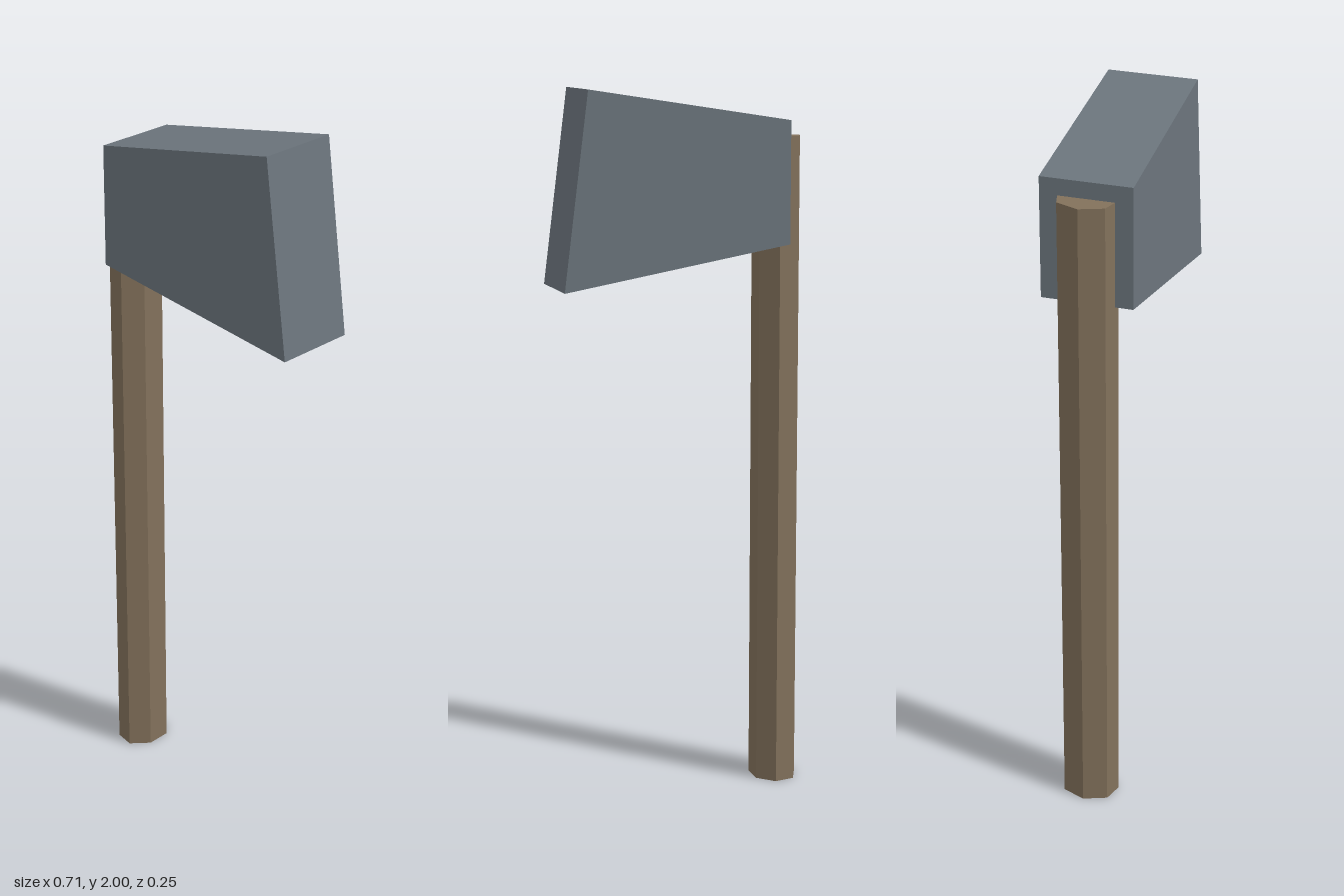
import * as THREE from 'three';

export function createModel() {
  const wood = new THREE.MeshStandardMaterial({ color: 0x82715b, flatShading: true });
  wood.name = 'wood';
  const steel = new THREE.MeshStandardMaterial({ color: 0x6c757d, flatShading: true });
  steel.name = 'steel';

  const axe = new THREE.Group();
  axe.name = 'axe';

  // Handle: seven-sided shaft, flattened across x, one corner pointing to -x
  const height = 1.865;
  const shaft = new THREE.CylinderGeometry(1, 1, height, 7, 1, false, -Math.PI / 2);
  shaft.scale(0.068, 1, 0.084);
  const handle = new THREE.Mesh(shaft, wood);
  handle.name = 'handle';
  handle.position.set(-0.289, height / 2, 0);
  axe.add(handle);

  // Head: flared four-sided block, wider towards the cutting side
  const outline = new THREE.Shape([
    new THREE.Vector2(-0.288, 1.57),
    new THREE.Vector2(0.355, 1.453),
    new THREE.Vector2(0.286, 2.0),
    new THREE.Vector2(-0.288, 1.912),
  ]);
  const depth = 0.255;
  const block = new THREE.ExtrudeGeometry(outline, { depth, bevelEnabled: false });
  block.translate(0, 0, -depth / 2);
  const head = new THREE.Mesh(block, steel);
  head.name = 'head';
  axe.add(head);

  return axe;
}
